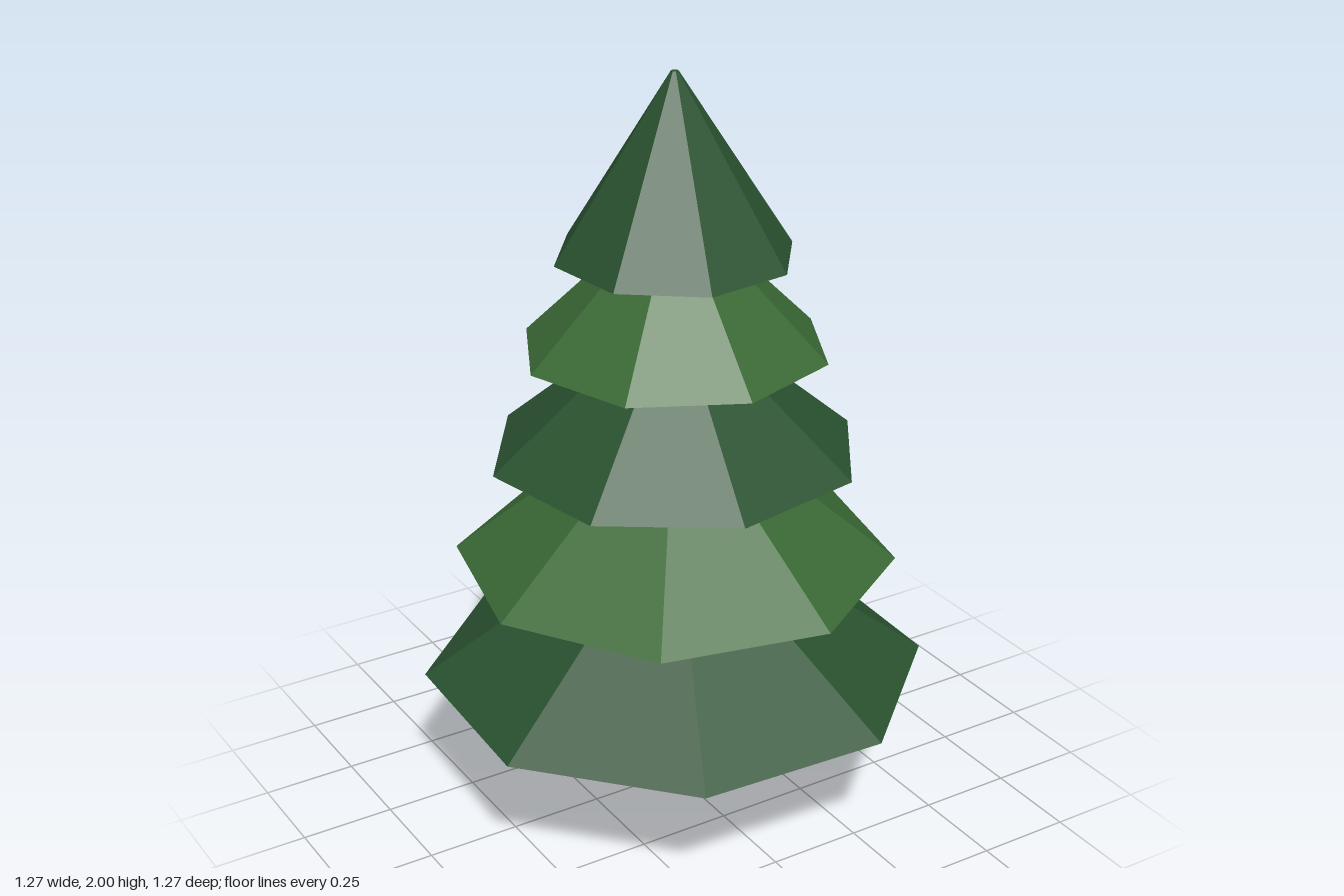
import * as THREE from 'three';

const material = (color) => new THREE.MeshStandardMaterial({ color, flatShading: true });

// Faceted tapered prism standing on height y, turned by an angle in degrees
function taper(name, topRadius, radius, height, sides, y, turn, mat) {
  const geometry = new THREE.CylinderGeometry(topRadius, radius, height, sides, 1, false, THREE.MathUtils.degToRad(turn));
  geometry.translate(0, y + height / 2, 0);
  const mesh = new THREE.Mesh(geometry, mat);
  mesh.name = name;
  return mesh;
}

export function createModel() {
  const tree = new THREE.Group();
  tree.name = 'pineTree';

  const bark = material(0x5e4630);
  const darkGreen = material(0x2a5230);
  const lightGreen = material(0x3a6a35);

  // Hexagonal trunk, reaching slightly into the lowest tier
  tree.add(taper('trunk', 0.053, 0.083, 0.39, 6, 0, 0, bark));

  // Eight-sided foliage tiers, bottom to top: base height, radius, height, turn
  const tiers = [
    [0.36, 0.673, 0.47, 19.7],
    [0.69, 0.582, 0.455, 9.9],
    [0.995, 0.49, 0.41, -11.4],
    [1.28, 0.402, 0.39, -4],
    [1.53, 0.311, 0.47, -15],
  ];
  const foliage = new THREE.Group();
  foliage.name = 'foliage';
  tiers.forEach(([y, radius, height, turn], i) => {
    foliage.add(taper(`foliageTier${i + 1}`, 0.01, radius, height, 8, y, turn, i % 2 ? lightGreen : darkGreen));
  });
  tree.add(foliage);

  return tree;
}
